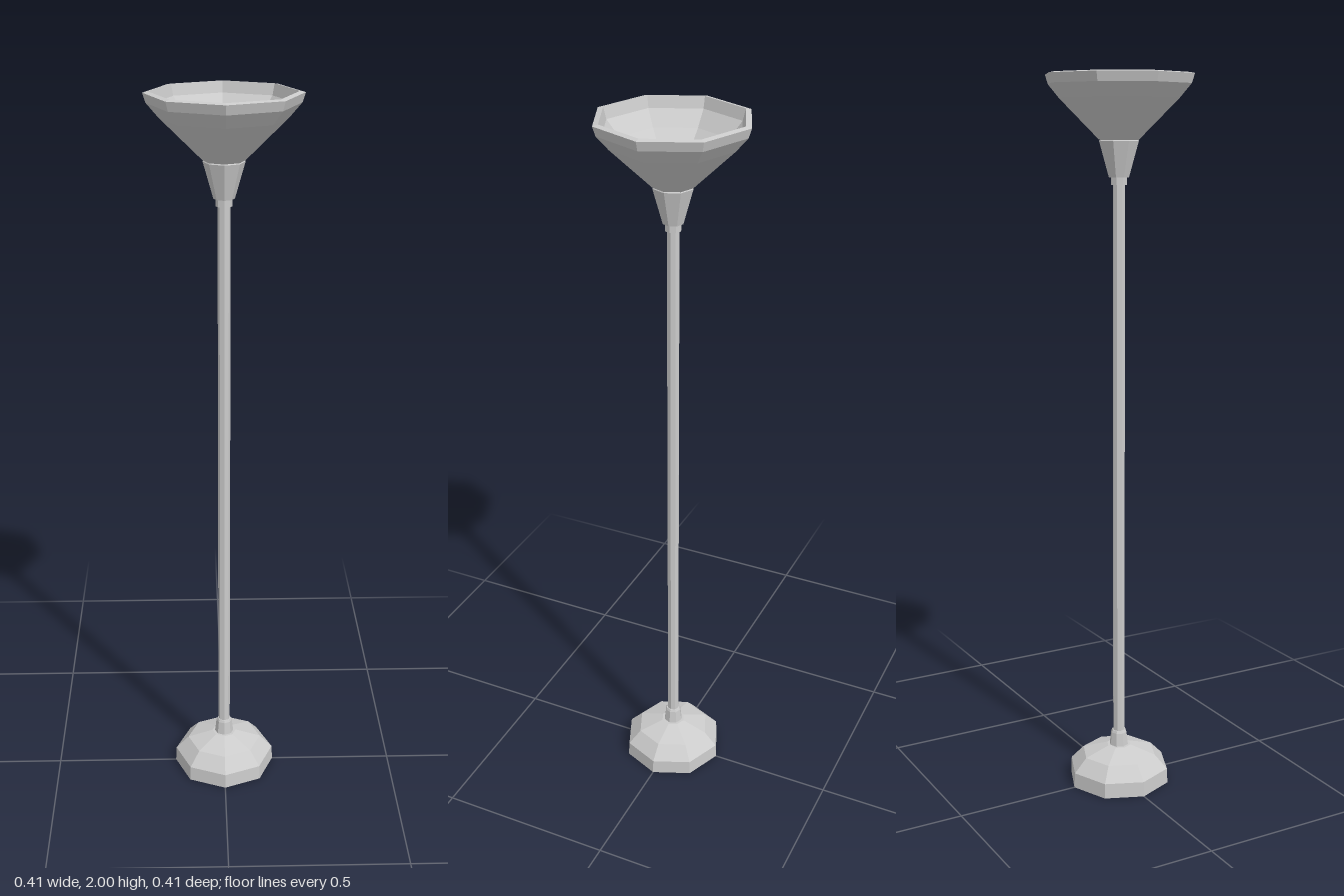
import * as THREE from 'three';

const SIDES = 8;

export function createModel() {
  const group = new THREE.Group();
  const material = new THREE.MeshStandardMaterial({ color: 0xcccccc, flatShading: true });

  // Revolve a [radius, height] profile, listed bottom to top on the outside
  const turned = (name, profile) => {
    const points = profile.map(([r, y]) => new THREE.Vector2(r, y));
    const mesh = new THREE.Mesh(new THREE.LatheGeometry(points, SIDES), material);
    mesh.name = name;
    group.add(mesh);
  };

  // Domed foot, closed underneath
  turned('base', [[0, 0], [0.147, 0], [0.145, 0.043], [0.108, 0.082], [0.035, 0.105], [0, 0.105]]);

  // Stepped collar where the pole enters the foot
  turned('baseCollar', [[0, 0.1], [0.028, 0.1], [0.023, 0.143], [0.02, 0.15], [0, 0.15]]);

  turned('pole', [[0, 0.1], [0.017, 0.1], [0.017, 1.74], [0, 1.74]]);

  // Ring and tapered cup under the shade
  turned('topCollar', [[0, 1.71], [0.022, 1.71], [0.022, 1.735], [0, 1.735]]);
  turned('shadeHolder', [[0, 1.73], [0.028, 1.73], [0.055, 1.825], [0.05, 1.832], [0, 1.832]]);

  // Thick-walled bowl: outside up to the rim, then down the inside to its floor
  turned('shade', [
    [0, 1.828], [0.055, 1.828], [0.165, 1.935], [0.197, 1.972], [0.205, 1.997],
    [0.19, 2], [0.182, 1.97], [0.148, 1.93], [0.063, 1.85], [0, 1.85],
  ]);

  return group;
}
